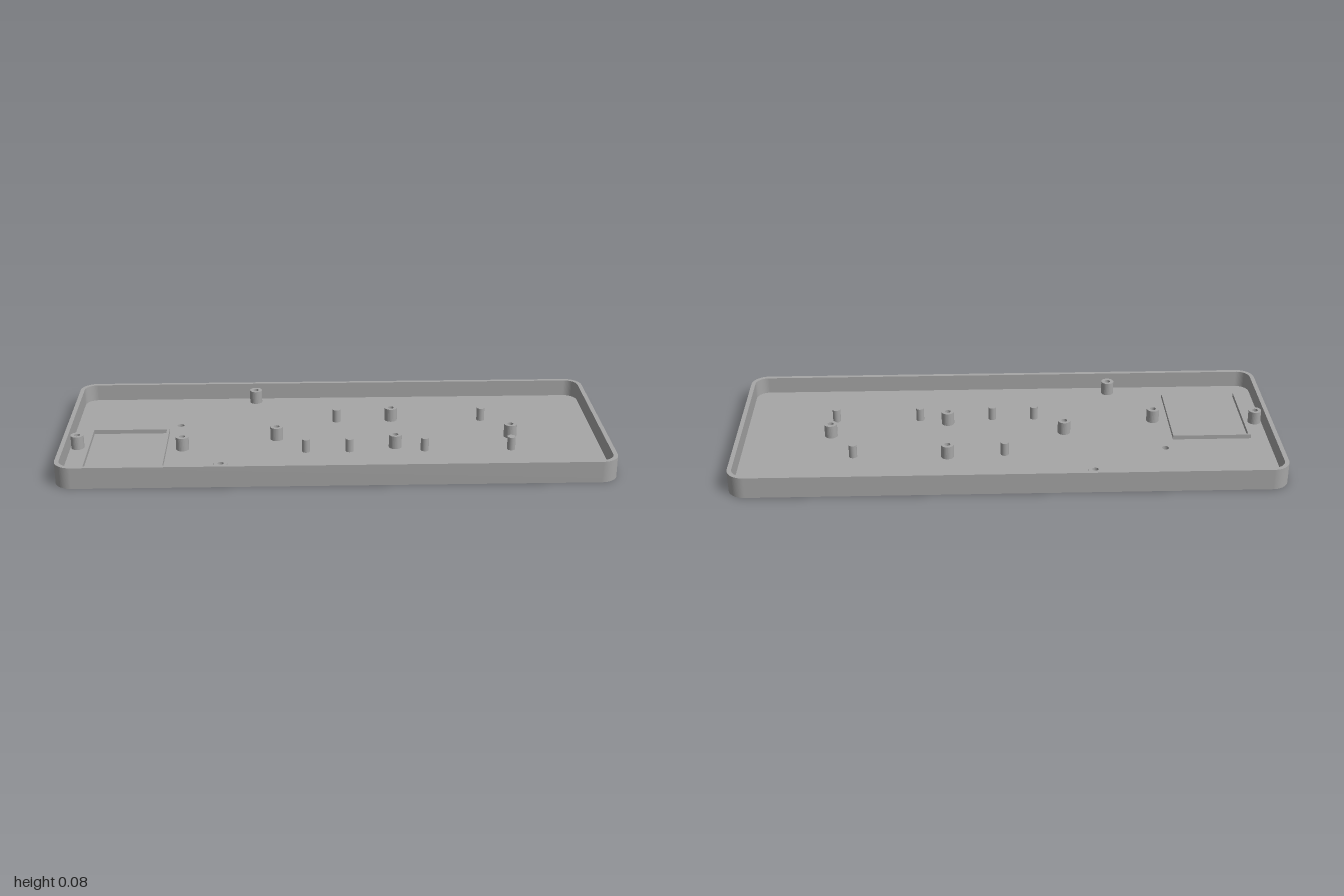
import * as THREE from 'three';

const FLOOR = 0.016, HEIGHT = 0.08, WALL = 0.016, POST_TOP = 0.066;

// Screw bosses, locating pins and the single vent hole, as [x, z]
const bosses = [[-0.305, -0.348], [0.222, -0.152], [0.663, 0.019], [-0.219, 0.019],
  [0.222, 0.104], [-0.567, 0.102], [-0.957, 0.078], [-0.414, 0.34]];
const pins = [[0.011, -0.142], [0.57, -0.142], [-0.11, 0.136], [0.051, 0.136], [0.329, 0.136], [0.65, 0.136]];
const ventHole = [-0.589, -0.115];

// Rounded rectangle traced in x and -z
function roundedRect(target, w, d, r) {
  const x = w / 2, y = d / 2;
  target.absarc(x - r, y - r, r, 0, Math.PI / 2);
  target.absarc(-x + r, y - r, r, Math.PI / 2, Math.PI);
  target.absarc(-x + r, -y + r, r, Math.PI, Math.PI * 1.5);
  target.absarc(x - r, -y + r, r, Math.PI * 1.5, Math.PI * 2);
  target.closePath();
  return target;
}

// Extrude a plan shape upwards from y0 to y1
function slab(shape, y0, y1) {
  const g = new THREE.ExtrudeGeometry(shape, { depth: y1 - y0, bevelEnabled: false, curveSegments: 16 });
  return g.rotateX(-Math.PI / 2).translate(0, y0, 0);
}

export function createModel() {
  const model = new THREE.Group();
  const grey = new THREE.MeshStandardMaterial({ color: 0xa6a6a6 });
  grey.name = 'grey plastic';
  const add = (name, geometry, x = 0, y = 0, z = 0) => {
    const mesh = new THREE.Mesh(geometry, grey);
    mesh.name = name;
    mesh.position.set(x, y, z);
    model.add(mesh);
  };

  // Floor plate, pierced under every boss and at the vent
  const floor = roundedRect(new THREE.Shape(), 2, 0.794, 0.064);
  const pierce = ([x, z], r) => floor.holes.push(new THREE.Path().absarc(x, -z, r, 0, Math.PI * 2, true));
  bosses.forEach((p) => pierce(p, 0.018));
  pierce(ventHole, 0.013);
  add('floor', slab(floor, 0, FLOOR));

  // Perimeter wall
  const wall = roundedRect(new THREE.Shape(), 2, 0.794, 0.064);
  wall.holes.push(roundedRect(new THREE.Path(), 2 - 2 * WALL, 0.794 - 2 * WALL, 0.064 - WALL));
  add('wall', slab(wall, FLOOR, HEIGHT));

  // Hollow screw bosses
  const ring = new THREE.Shape().absarc(0, 0, 0.024, 0, Math.PI * 2);
  ring.holes.push(new THREE.Path().absarc(0, 0, 0.011, 0, Math.PI * 2, true));
  const bossGeometry = slab(ring, FLOOR, POST_TOP);
  bosses.forEach(([x, z]) => add('screwBoss', bossGeometry, x, 0, z));

  // Solid locating pins
  const pinGeometry = new THREE.CylinderGeometry(0.015, 0.015, POST_TOP - FLOOR, 24);
  pins.forEach(([x, z]) => add('locatingPin', pinGeometry, x, (POST_TOP + FLOOR) / 2, z));

  // Low ribs around three sides of the battery bay
  const rib = (name, w, d, x, z) => add(name, new THREE.BoxGeometry(w, 0.016, d), x, FLOOR + 0.008, z);
  rib('bayRibRight', 0.01, 0.343, -0.916, 0.1185);
  rib('bayRibLeft', 0.01, 0.343, -0.631, 0.1185);
  rib('bayRibBack', 0.275, 0.01, -0.7735, -0.048);

  return model;
}
